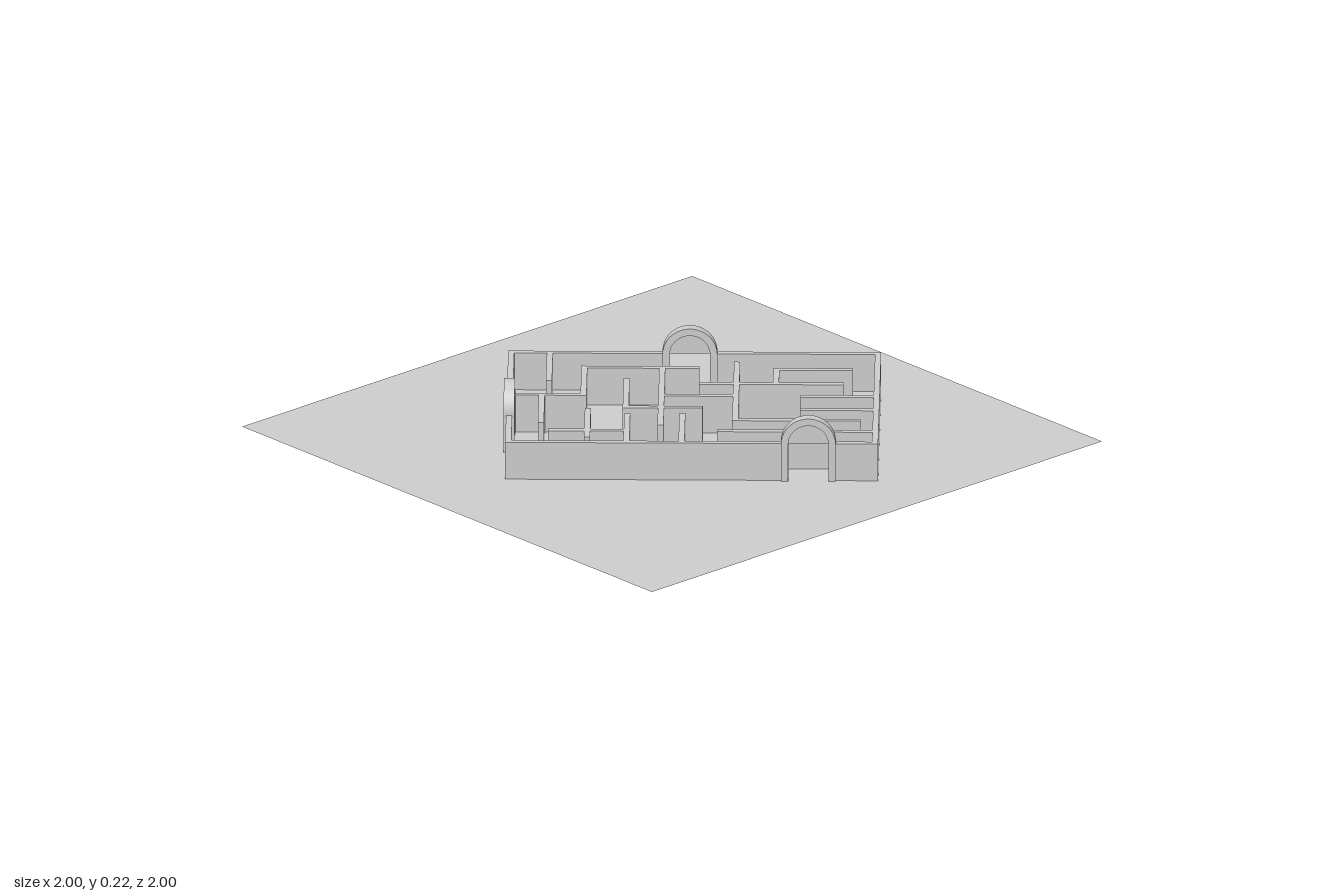
import * as THREE from 'three';

const W = 0.82, L = 1.225;   // outer size of the maze
const T = 0.02, H = 0.13;    // wall thickness and height
const R = 0.09, RI = 0.066;  // arch radii

const grey = new THREE.MeshStandardMaterial({ color: 0xcccccc, side: THREE.DoubleSide });

// Wall between two points of an axis-aligned plan
function wall(name, u0, v0, u1, v1) {
  const geo = new THREE.BoxGeometry(Math.abs(u1 - u0) + T, H, Math.abs(v1 - v0) + T);
  const mesh = new THREE.Mesh(geo, grey);
  mesh.position.set((u0 + u1) / 2, H / 2, (v0 + v1) / 2);
  mesh.name = name;
  return mesh;
}

// Gateway: round-headed frame with a thin panel filling its head
function archway(name, u, v, turn) {
  const gate = new THREE.Group();
  gate.name = name;

  const frame = new THREE.Shape();
  frame.moveTo(-R, 0);
  frame.lineTo(-R, H);
  frame.absarc(0, H, R, Math.PI, 0, true);
  frame.lineTo(R, 0);
  frame.lineTo(RI, 0);
  frame.lineTo(RI, H);
  frame.absarc(0, H, RI, 0, Math.PI, false);
  frame.lineTo(-RI, 0);
  frame.closePath();
  const depth = 0.036;
  const frameGeo = new THREE.ExtrudeGeometry(frame, { depth, bevelEnabled: false, curveSegments: 24 });
  frameGeo.translate(0, 0, -depth / 2);
  const frameMesh = new THREE.Mesh(frameGeo, grey);
  frameMesh.name = 'archFrame';

  const head = new THREE.Shape();
  head.absarc(0, H, RI, 0, Math.PI, false);
  head.closePath();
  const headGeo = new THREE.ExtrudeGeometry(head, { depth: 0.016, bevelEnabled: false, curveSegments: 24 });
  headGeo.translate(0, 0, -0.008);
  const headMesh = new THREE.Mesh(headGeo, grey);
  headMesh.name = 'archPanel';

  gate.add(frameMesh, headMesh);
  gate.position.set(u, 0, v);
  gate.rotation.y = turn;
  return gate;
}

export function createModel() {
  const model = new THREE.Group();
  model.name = 'maze';

  // Flat square ground
  const floor = new THREE.Mesh(new THREE.PlaneGeometry(2, 2).rotateX(-Math.PI / 2), grey);
  floor.name = 'floor';
  model.add(floor);

  // The maze stands turned on the ground, laid out from its rear corner
  const maze = new THREE.Group();
  maze.name = 'walls';
  maze.position.set(0.166, 0, -0.778);
  maze.rotation.y = -0.751;
  model.add(maze);

  // Outer walls, interrupted at the gateways
  const a = T / 2, w = W - a, l = L - a, g = RI + 0.02;
  const gateA = 0.628, gateB = 0.229, gateC = 0.49;
  const outer = [
    [a, a, w, a],
    [a, a, a, gateA - g], [a, gateA + g, a, l],
    [w, a, w, gateB - g], [w, gateB + g, w, l],
    [a, l, gateC - g, l], [gateC + g, l, w, l],
  ];
  outer.forEach((p) => maze.add(wall('outerWall', ...p)));

  // Inner walls running lengthwise: u, from v, to v
  const lengthwise = [
    [0.155, 0.10, 0.342], [0.283, 0.13, 0.585], [0.395, a, 0.25],
    [0.513, a, 0.25], [0.607, 0.07, 0.472], [0.706, a, 0.52],
    [0.142, 0.605, 0.973], [0.387, 0.973, l], [0.39, 0.472, 0.717],
    [0.497, 0.59, 0.833], [0.705, 0.827, 1.075],
  ];
  lengthwise.forEach(([u, v0, v1]) => maze.add(wall('innerWall', u, v0, u, v1)));

  // Inner walls running crosswise: v, from u, to u
  const crosswise = [
    [0.342, 0.155, 0.283], [0.472, 0.10, 0.607], [0.717, 0.142, 0.65],
    [0.833, 0.25, 0.497], [0.973, 0.142, 0.387], [0.646, 0.56, w],
    [0.827, 0.565, w], [0.957, 0.52, 0.76], [1.11, 0.387, 0.63],
    [1.088, a, 0.255],
  ];
  crosswise.forEach(([v, u0, u1]) => maze.add(wall('innerWall', u0, v, u1, v)));

  // Three gateways
  maze.add(
    archway('rightGate', a, gateA, Math.PI / 2),
    archway('leftGate', w, gateB, Math.PI / 2),
    archway('frontGate', gateC, l, 0),
  );
  return model;
}
